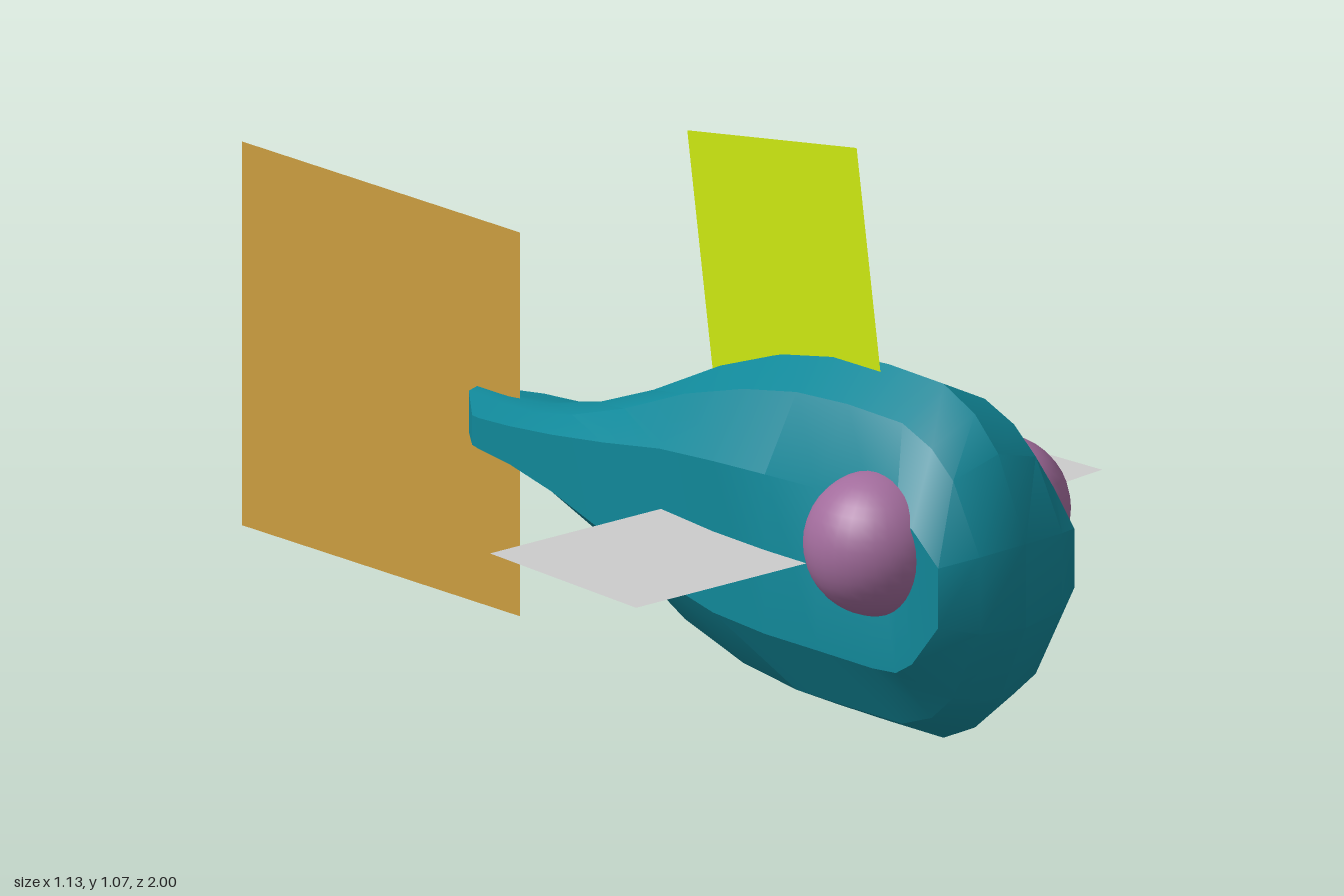
import * as THREE from 'three';
import { toCreasedNormals } from 'three/addons/utils/BufferGeometryUtils.js';

const paint = (color, side = THREE.FrontSide) => new THREE.MeshStandardMaterial({ color, side });

// Body sections from nose to tail:
// z, top, bottom, half width, inner x, upper corner y, lower corner y, bow in z at the sides
const SECTIONS = [
  [1.0, 0.44, 0.285, 0.165, 0.1, 0.42, 0.31, 0.05],
  [0.93, 0.59, 0.13, 0.172, 0.1, 0.48, 0.23, 0.04],
  [0.87, 0.65, 0.07, 0.173, 0.1, 0.49, 0.205, 0.02],
  [0.79, 0.687, 0.032, 0.174, 0.1, 0.5, 0.2, 0],
  [0.65, 0.69, 0.03, 0.175, 0.1, 0.5, 0.2, 0],
  [0.52, 0.68, 0.03, 0.177, 0.1, 0.495, 0.2, 0],
  [0.38, 0.645, 0.05, 0.17, 0.096, 0.485, 0.205, 0],
  [0.22, 0.585, 0.1, 0.148, 0.086, 0.465, 0.225, 0],
  [0.05, 0.5, 0.19, 0.122, 0.07, 0.43, 0.265, 0],
  [-0.1, 0.44, 0.265, 0.105, 0.055, 0.405, 0.3, 0],
  [-0.22, 0.41, 0.305, 0.094, 0.04, 0.39, 0.32, 0],
  [-0.32, 0.4, 0.315, 0.091, 0.025, 0.385, 0.328, -0.02],
  [-0.4, 0.4, 0.315, 0.088, 0.02, 0.385, 0.33, -0.08],
];

// Ten-sided ring: top, round the +x side, bottom, back up the -x side
function ring([z, top, bottom, w, m, up, lo, bow]) {
  const inner = z < -0.3 ? 0 : 0.25;
  const half = [
    [m, top - 0.27 * (top - up), z - bow * inner],
    [w, up, z - bow],
    [w, lo, z - bow],
    [m, bottom + 0.29 * (lo - bottom), z - bow * inner],
  ];
  const mirrored = half.map(([x, y, d]) => [-x, y, d]).reverse();
  return [[0, top, z], ...half, [0, bottom, z], ...mirrored];
}

function bodyGeometry() {
  const rings = SECTIONS.map(ring);
  const N = 10;
  const last = (rings.length - 1) * N;
  const index = [];
  const quad = (a, b, c, d) => index.push(a, b, c, a, c, d);
  for (let s = 0; s < rings.length - 1; s++) {
    for (let i = 0; i < N; i++) {
      const a = s * N + i, b = s * N + ((i + 1) % N);
      quad(a, b, b + N, a + N);
    }
  }
  // Bowed end caps
  for (const [a, b, c, d] of [[0, 5, 4, 1], [1, 4, 3, 2], [0, 9, 6, 5], [9, 8, 7, 6]]) {
    quad(a, b, c, d);
    quad(last + d, last + c, last + b, last + a);
  }
  const g = new THREE.BufferGeometry();
  g.setAttribute('position', new THREE.Float32BufferAttribute(rings.flat(2), 3));
  g.setIndex(index);
  return toCreasedNormals(g, 0.52);
}

export function createModel() {
  const model = new THREE.Group();
  model.name = 'fish';
  const add = (name, geometry, material, x, y, z) => {
    const mesh = new THREE.Mesh(geometry, material);
    mesh.name = name;
    mesh.position.set(x, y, z);
    model.add(mesh);
    return mesh;
  };

  add('body', bodyGeometry(), paint(0x118899), 0, 0, 0);

  // Eyes and side fins, mirrored
  const eye = new THREE.SphereGeometry(0.13, 32, 20);
  const eyePaint = paint(0xa26c9c);
  const fin = new THREE.PlaneGeometry(0.4, 0.4).rotateX(-Math.PI / 2);
  const finPaint = paint(0xcccccc, THREE.DoubleSide);
  for (const [side, s] of [['left', 1], ['right', -1]]) {
    add(side + 'Eye', eye, eyePaint, s * 0.146, 0.422, 0.773);
    add(side + 'Fin', fin, finPaint, s * 0.353, 0.355, 0.413).rotation.y = s * 0.063;
  }

  // Back fin: a tilted, slightly turned square
  const backFin = add('backFin', new THREE.PlaneGeometry(0.473, 0.473).rotateY(Math.PI / 2),
    paint(0xcce811, THREE.DoubleSide), 0, 0.8, 0.388);
  backFin.rotation.set(-0.18, -0.065, -0.025);

  // Tail fin
  add('tailFin', new THREE.PlaneGeometry(0.71, 0.71).rotateY(Math.PI / 2),
    paint(0xcc9e40, THREE.DoubleSide), 0, 0.355, -0.645);

  return model;
}
